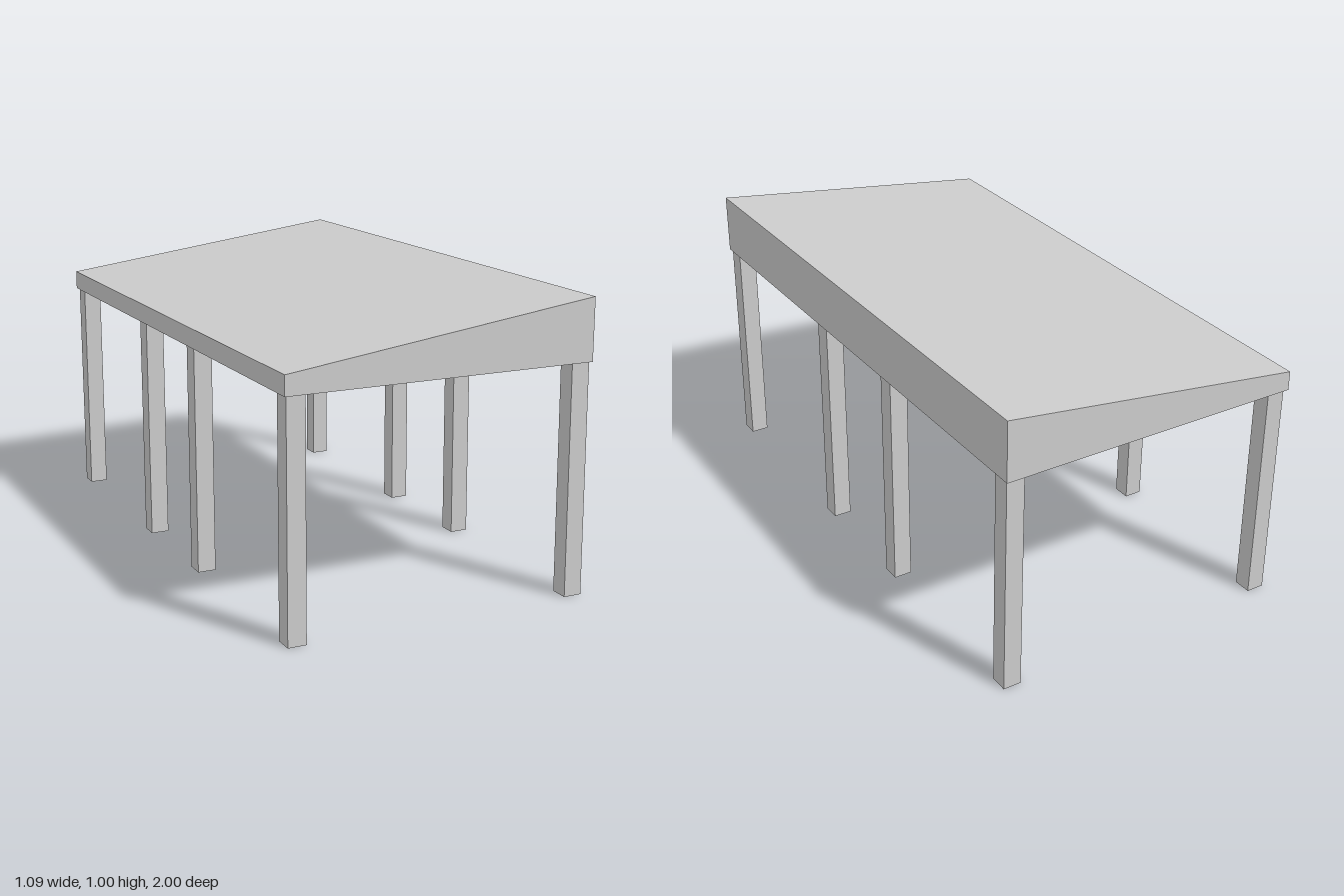
import * as THREE from 'three';

const W = 0.543, L = 1;              // roof half width and half length
const BASE = 0.79, LOW = 0.857, HIGH = 1.003;
const RIM = 0.073, THICK = 0.025;    // rim width, roof sheet thickness
const POST = 0.064;

const topAt = (x) => LOW + (HIGH - LOW) * (x + W) / (2 * W);

// Extrude a closed x/y profile between two z positions
function extrudeZ(points, z0, z1) {
  const shape = new THREE.Shape(points.map(([x, y]) => new THREE.Vector2(x, y)));
  const geo = new THREE.ExtrudeGeometry(shape, { depth: z1 - z0, bevelEnabled: false });
  return geo.translate(0, 0, z0);
}

export function createModel() {
  const model = new THREE.Group();
  const solid = new THREE.MeshStandardMaterial({ color: 0xcccccc, flatShading: true });
  const open = new THREE.MeshStandardMaterial({ color: 0xcccccc, flatShading: true, side: THREE.DoubleSide });

  const add = (name, geo, mat, parent) => {
    const mesh = new THREE.Mesh(geo, mat);
    mesh.name = name;
    parent.add(mesh);
    return mesh;
  };

  // Single-slope roof, hollow underneath
  const roof = new THREE.Group();
  roof.name = 'roof';
  model.add(roof);
  const xi = W - RIM;
  add('roofSheetAndSideBeams', extrudeZ([
    [-W, BASE], [-xi, BASE], [-xi, topAt(-xi) - THICK], [xi, topAt(xi) - THICK],
    [xi, BASE], [W, BASE], [W, HIGH], [-W, LOW],
  ], -L + RIM, L - RIM), solid, roof);

  // Solid gable beams closing both ends
  const gable = [[-W, BASE], [W, BASE], [W, HIGH], [-W, LOW]];
  add('frontGable', extrudeZ(gable, L - RIM, L), solid, roof);
  add('backGable', extrudeZ(gable, -L, -L + RIM), solid, roof);

  // Hollow square posts, leaning very slightly backwards
  const posts = new THREE.Group();
  posts.name = 'posts';
  model.add(posts);
  const postGeo = new THREE.CylinderGeometry(POST / Math.SQRT2, POST / Math.SQRT2, BASE, 4, 1, true)
    .rotateY(Math.PI / 4)
    .translate(0, BASE / 2, 0)
    .applyMatrix4(new THREE.Matrix4().makeShear(0, 0, 0, -0.01, 0, 0));
  for (const side of [-1, 1]) {
    for (const z of [0.967, 0.232, -0.23, -0.946]) {
      add(side > 0 ? 'leftPost' : 'rightPost', postGeo, open, posts).position.set(side * 0.503, 0, z);
    }
  }
  return model;
}
